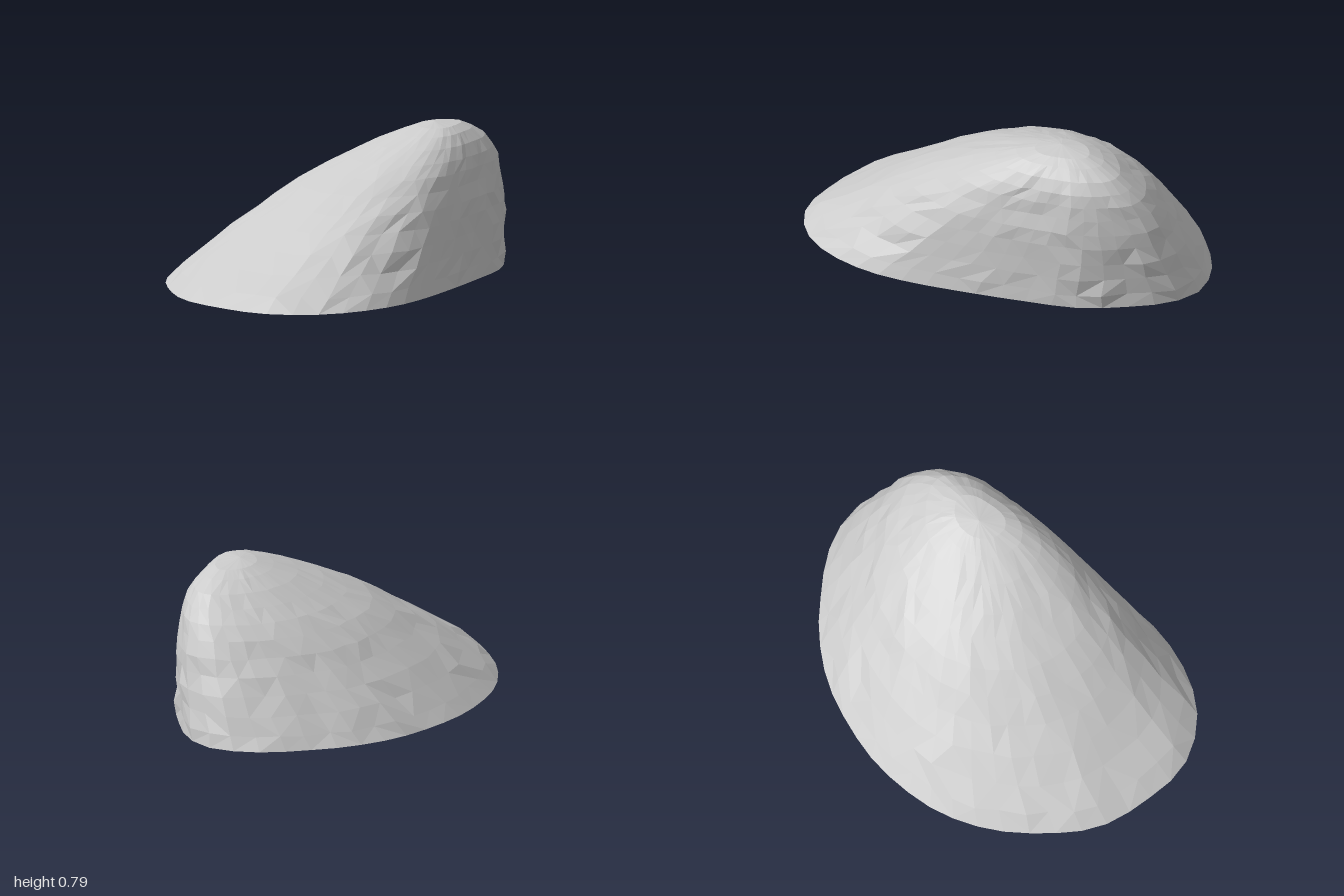
import * as THREE from 'three';

// Ground outline (x, z), counter-clockwise seen from above
const OUTLINE = [
  [0.3, -1], [0.1, -0.99], [-0.16, -0.92], [-0.4, -0.78], [-0.6, -0.61], [-0.8, -0.32],
  [-0.88, -0.06], [-0.89, 0.18], [-0.82, 0.55], [-0.6, 0.83], [-0.45, 0.95], [-0.22, 1],
  [0, 0.95], [0.24, 0.79], [0.4, 0.6], [0.56, 0.34], [0.72, 0.05], [0.85, -0.22],
  [0.885, -0.44], [0.885, -0.7], [0.8, -0.87], [0.57, -0.98],
];

// Contour levels: height, min x, max x, min z, max z
const LEVELS = [
  [0, -0.89, 0.885, -1, 1],
  [0.07, -0.81, 0.885, -0.96, 0.92],
  [0.16, -0.69, 0.885, -0.905, 0.8],
  [0.25, -0.57, 0.885, -0.85, 0.7],
  [0.34, -0.44, 0.88, -0.79, 0.6],
  [0.42, -0.32, 0.875, -0.74, 0.51],
  [0.5, -0.2, 0.86, -0.68, 0.41],
  [0.57, -0.06, 0.845, -0.62, 0.32],
  [0.63, 0.06, 0.82, -0.55, 0.23],
  [0.69, 0.2, 0.775, -0.48, 0.13],
  [0.74, 0.33, 0.71, -0.4, 0.03],
  [0.77, 0.42, 0.65, -0.33, -0.06],
];
const PEAK = [0.51, 0.787, -0.2];
const N = 44;

// Small repeatable unevenness in -1..1
const noise = (a, b) => {
  const s = Math.sin(a * 127.1 + b * 311.7) * 43758.5453;
  return (s - Math.floor(s)) * 2 - 1;
};

function facetedMesh(name, positions, index) {
  const geometry = new THREE.BufferGeometry();
  geometry.setAttribute('position', new THREE.Float32BufferAttribute(positions, 3));
  geometry.setIndex(index);
  geometry.computeVertexNormals();
  const mesh = new THREE.Mesh(geometry, new THREE.MeshStandardMaterial({ color: 0xcccccc, flatShading: true }));
  mesh.name = name;
  return mesh;
}

export function createModel() {
  const group = new THREE.Group();
  group.name = 'rockMound';

  const curve = new THREE.CatmullRomCurve3(
    OUTLINE.map(([x, z]) => new THREE.Vector3(x, 0, z)), true);
  const ring = curve.getSpacedPoints(N).slice(0, N);

  // Stack the outline, fitted to each contour's extents
  const positions = [];
  LEVELS.forEach(([y, x0, x1, z0, z1], r) => {
    const rough = r === 0 ? 0 : 0.011 * (x1 - x0) / 1.775;
    ring.forEach((p, i) => {
      const u = (p.x + 0.89) / 1.775, v = (p.z + 1) / 2;
      positions.push(
        x0 + u * (x1 - x0) + noise(i, r) * rough,
        y + noise(i + 50, r) * rough * 0.5,
        z0 + v * (z1 - z0) + noise(i + 99, r) * rough);
    });
  });
  const peak = positions.length / 3;
  positions.push(...PEAK);

  // Slopes, with alternating diagonals for irregular facets
  const slopes = [];
  const top = LEVELS.length - 1;
  for (let r = 0; r < top; r++) {
    for (let i = 0; i < N; i++) {
      const j = (i + 1) % N;
      const a = r * N + i, b = r * N + j, c = b + N, d = a + N;
      if (noise(i, r + 20) > 0) slopes.push(a, b, c, a, c, d);
      else slopes.push(a, b, d, b, c, d);
    }
  }
  for (let i = 0; i < N; i++) slopes.push(top * N + i, top * N + (i + 1) % N, peak);
  group.add(facetedMesh('slopes', positions, slopes));

  // Flat underside
  const base = [0, 0, 0];
  const baseIndex = [];
  for (let i = 0; i < N; i++) {
    base.push(...positions.slice(i * 3, i * 3 + 3));
    baseIndex.push(0, 1 + (i + 1) % N, 1 + i);
  }
  group.add(facetedMesh('underside', base, baseIndex));
  return group;
}
